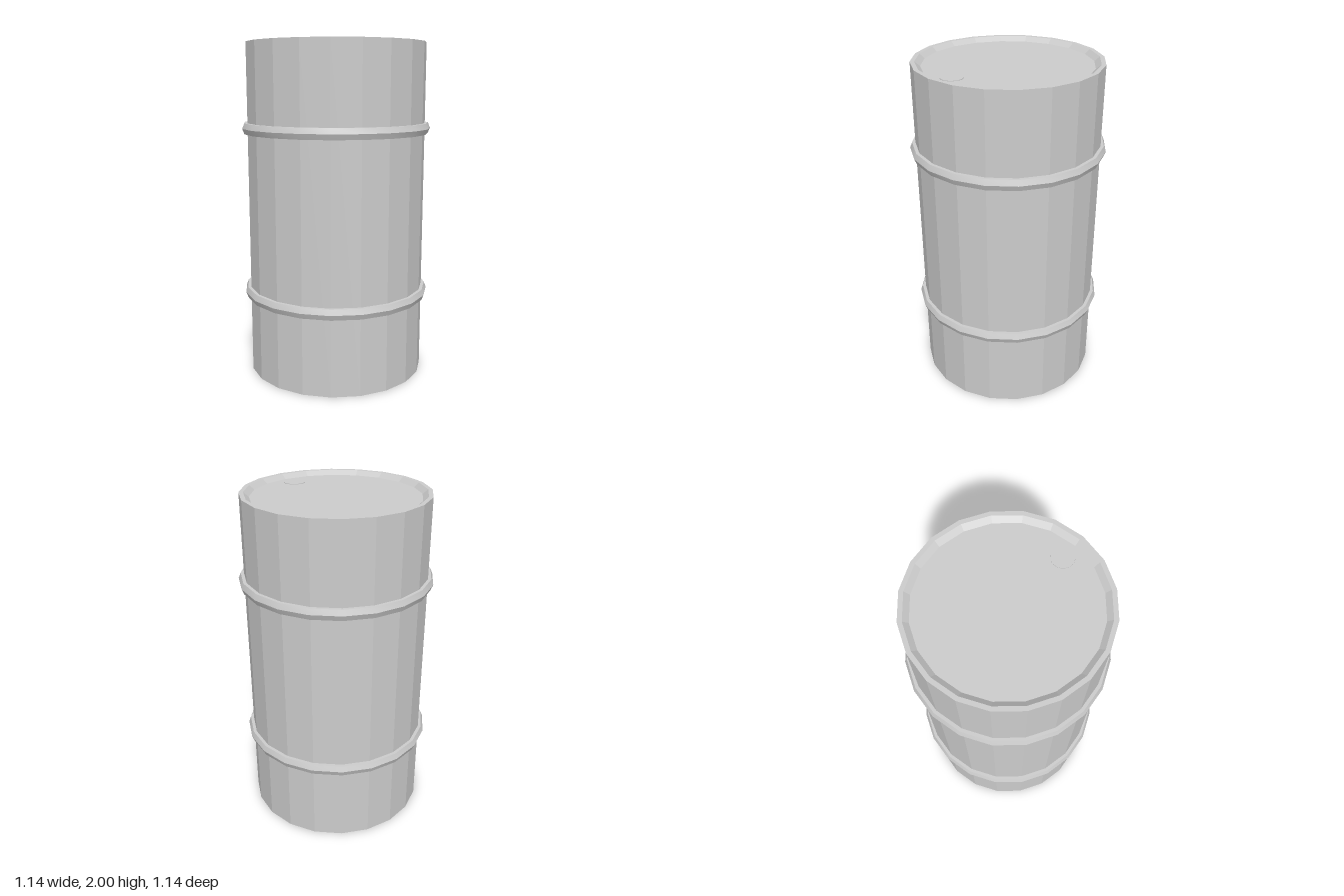
import * as THREE from 'three';
import { toCreasedNormals } from 'three/addons/utils/BufferGeometryUtils.js';

const SIDES = 20;
const RADIUS = 0.537;
const LID_Y = 1.975;

// Revolve a list of [radius, height] pairs, running bottom to top on the outside
function revolve(profile) {
  return new THREE.LatheGeometry(profile.map(([r, y]) => new THREE.Vector2(r, y)), SIDES);
}

export function createModel() {
  const group = new THREE.Group();
  group.name = 'drum';
  const flat = new THREE.MeshStandardMaterial({ color: 0xcccccc, flatShading: true });
  const smooth = new THREE.MeshStandardMaterial({ color: 0xcccccc });

  const add = (name, geometry, material, x = 0, y = 0, z = 0) => {
    const mesh = new THREE.Mesh(geometry, material);
    mesh.name = name;
    mesh.position.set(x, y, z);
    group.add(mesh);
  };

  // Faceted barrel with flat base, raised rim and sunken lid
  add('body', revolve([
    [0, 0], [RADIUS, 0], [RADIUS, 2], [0.512, 2], [0.482, LID_Y], [0, LID_Y],
  ]), flat);

  // Two rolling hoops: flat top and bottom, ridge around the middle
  const hoop = toCreasedNormals(revolve([
    [0.53, -0.032], [0.556, -0.032], [0.569, 0], [0.556, 0.032], [0.53, 0.032],
  ]), THREE.MathUtils.degToRad(25));
  add('lowerHoop', hoop, smooth, 0, 0.5);
  add('upperHoop', hoop, smooth, 0, 1.5);

  // Thin filler cap near the front edge of the lid
  add('fillerCap', new THREE.CylinderGeometry(0.063, 0.063, 0.006, SIDES), smooth, 0, LID_Y, 0.39);

  return group;
}
